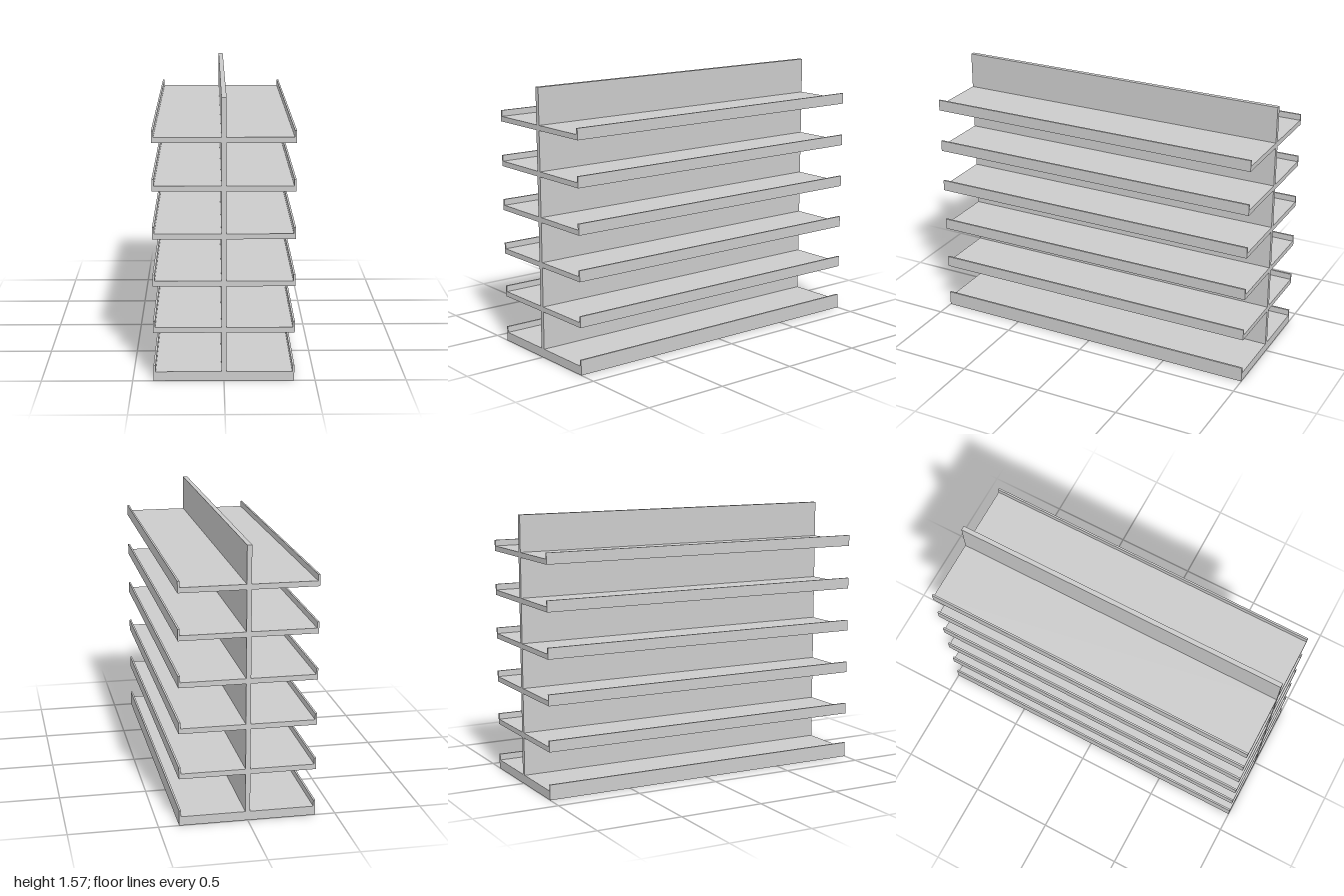
import * as THREE from 'three';

const LENGTH = 2, HALF_WIDTH = 0.385, PANEL_HALF = 0.0135, LIP = 0.011, HEIGHT = 1.565;

// L-shaped cross-section: flat board with an upright lip on its outer edge
function boardGeometry(thickness, lipTop) {
  const inner = HALF_WIDTH - LIP;
  const shape = new THREE.Shape([
    [PANEL_HALF, 0], [HALF_WIDTH, 0], [HALF_WIDTH, lipTop],
    [inner, lipTop], [inner, thickness], [PANEL_HALF, thickness],
  ].map(([x, y]) => new THREE.Vector2(x, y)));
  const geometry = new THREE.ExtrudeGeometry(shape, { depth: LENGTH, bevelEnabled: false });
  return geometry.translate(0, 0, -LENGTH / 2);
}

export function createModel() {
  const group = new THREE.Group();
  group.name = 'doubleSidedShelf';
  const material = new THREE.MeshStandardMaterial({ color: 0xcccccc, flatShading: true });

  // Central upright panel
  const panel = new THREE.Mesh(new THREE.BoxGeometry(PANEL_HALF * 2, HEIGHT, LENGTH), material);
  panel.name = 'centerPanel';
  panel.position.y = HEIGHT / 2;
  group.add(panel);

  // A lipped board on each side of the panel
  function addTier(name, geometry, y) {
    const tier = new THREE.Group();
    tier.name = name;
    tier.position.y = y;
    ['left', 'right'].forEach((side, i) => {
      const board = new THREE.Mesh(geometry, material);
      board.name = `${side}Board`;
      board.rotation.y = i * Math.PI;
      tier.add(board);
    });
    group.add(tier);
  }

  // Thicker base, then five evenly spaced shelves
  addTier('base', boardGeometry(0.052, 0.088), 0);
  const shelf = boardGeometry(0.03, 0.065);
  for (let i = 0; i < 5; i++) addTier(`shelf${i + 1}`, shelf, 0.275 + i * 0.262);

  return group;
}
